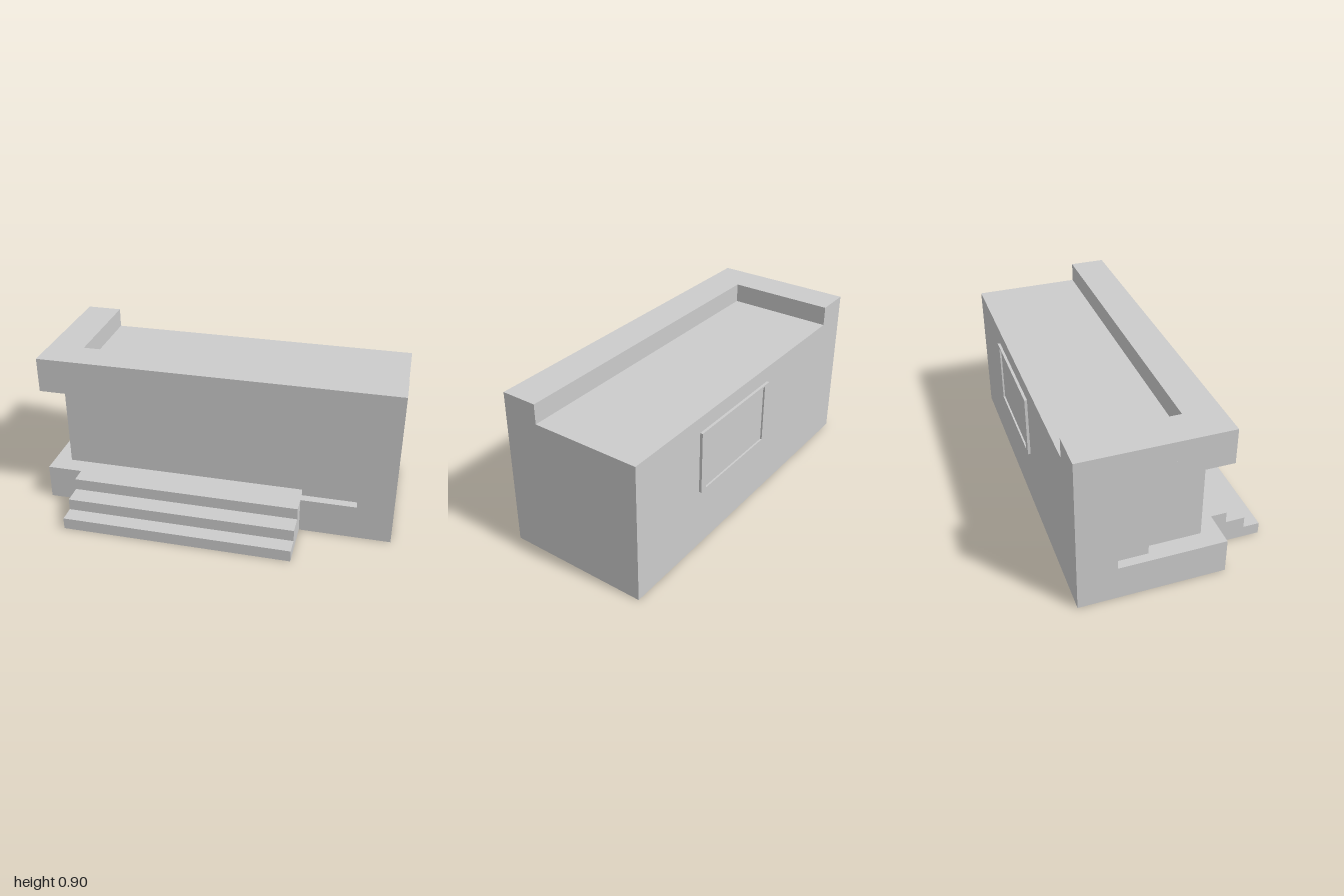
import * as THREE from 'three';

const material = new THREE.MeshStandardMaterial({ color: 0xcccccc, flatShading: true });

// Extrudes a floor plan of [x, z] corners from height y0 up to y1
function storey(name, plan, y0, y1) {
  const shape = new THREE.Shape(plan.map(([x, z]) => new THREE.Vector2(x, -z)));
  const geometry = new THREE.ExtrudeGeometry(shape, { depth: y1 - y0, bevelEnabled: false });
  geometry.rotateX(-Math.PI / 2).translate(0, y0, 0);
  const mesh = new THREE.Mesh(geometry, material);
  mesh.name = name;
  return mesh;
}

// Box given by its extents on each axis
function block(name, x0, x1, y0, y1, z0, z1) {
  const mesh = new THREE.Mesh(new THREE.BoxGeometry(x1 - x0, y1 - y0, z1 - z0), material);
  mesh.position.set((x0 + x1) / 2, (y0 + y1) / 2, (z0 + z1) / 2);
  mesh.name = name;
  return mesh;
}

export function createModel() {
  const model = new THREE.Group();
  model.name = 'building';
  const back = -0.54, front = 0.26;
  const footprint = [[-1, back], [1, back], [1, front], [-1, front]];

  // Base, walls set back around the front corner, and roof slab
  model.add(storey('base', footprint, 0, 0.2));
  model.add(storey('walls', [
    [-1, back], [1, back], [1, front], [0.8, front],
    [0.8, 0.21], [0.49, 0.21], [0.49, 0.155],
    [-0.9, 0.155], [-0.9, -0.15], [-0.95, -0.15], [-0.95, -0.33], [-1, -0.33],
  ], 0.2, 0.7));
  model.add(storey('roof', footprint, 0.7, 0.787));

  // L-shaped parapet along the front and the right-hand end
  model.add(storey('parapet', [
    [-1, back], [-0.8, back], [-0.8, 0.06], [1, 0.06], [1, front], [-1, front],
  ], 0.787, 0.897));

  // Front steps as one stepped block
  const steps = new THREE.Group();
  steps.name = 'steps';
  [0.553, 0.46, 0.35].forEach((edge, i) => {
    steps.add(block('step', -0.8, 0.49, i * 0.2 / 3, (i + 1) * 0.2 / 3, front, edge));
  });
  model.add(steps);

  // Back window: frame bars around a recessed pane
  const backWindow = new THREE.Group();
  backWindow.name = 'backWindow';
  const out = -0.555;
  for (const x of [-0.15, 0.447]) {
    backWindow.add(block('windowSideBar', x, x + 0.043, 0.345, 0.7, out, back));
  }
  for (const y of [0.345, 0.69]) {
    backWindow.add(block('windowRail', -0.107, 0.447, y, y + 0.01, out, back));
  }
  backWindow.add(block('windowPane', -0.107, 0.447, 0.355, 0.69, -0.545, back));
  model.add(backWindow);

  return model;
}
